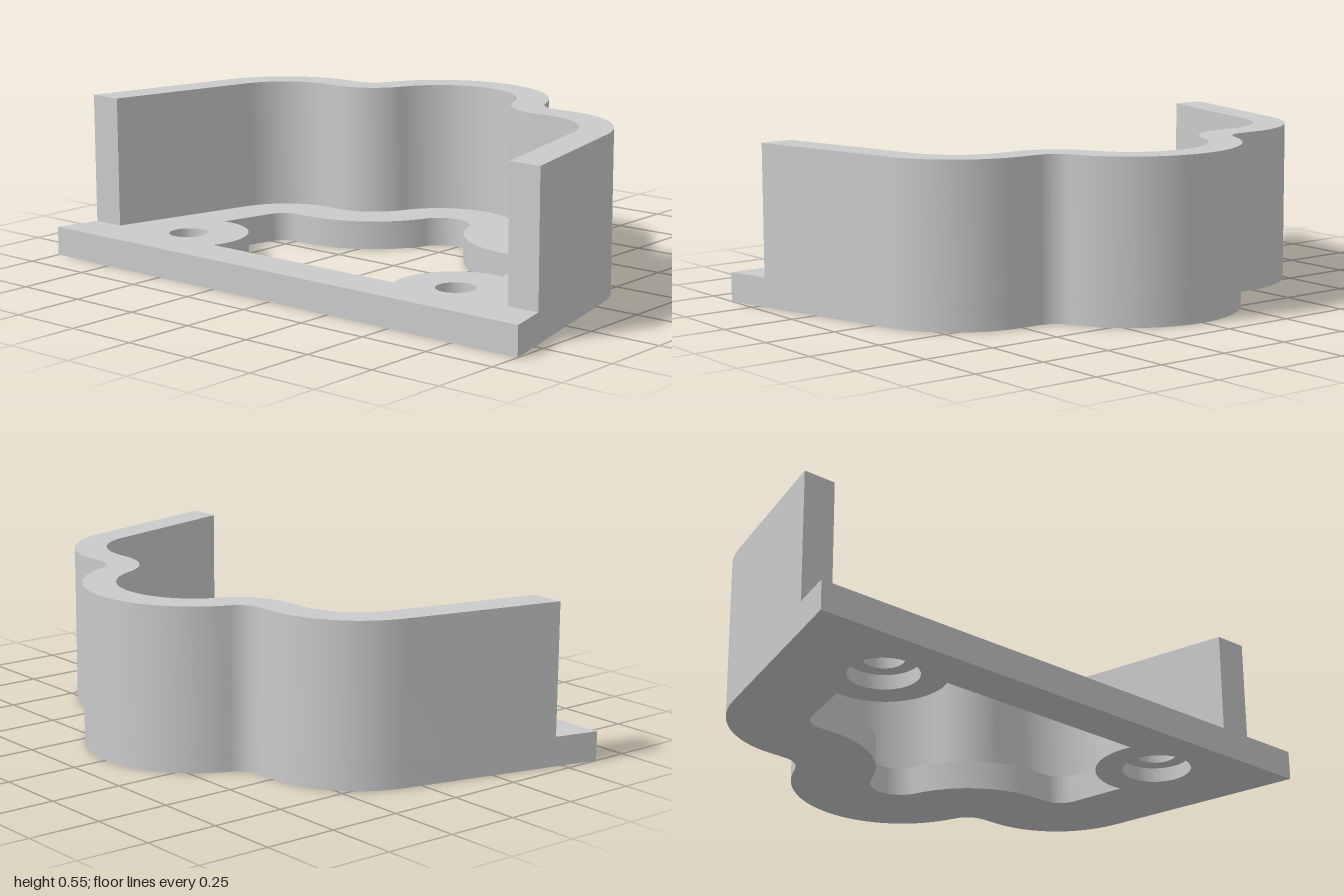
import * as THREE from 'three';
import { toCreasedNormals } from 'three/addons/utils/BufferGeometryUtils.js';

const SLANT = 0.24;            // lean of the side walls, in plan
const BASE = 0.1, TOP = 0.55;  // plate thickness and wall height
const FRONT = 0.627, WALL_FRONT = 0.475;
const BOSS = [0.587, 0.4], BOSS_R = 0.207, HOLE_R = 0.066, BORE_R = 0.115, BORE_DEPTH = 0.05;

// Points (x, z) along an arc
function arc(cx, cz, r, a0, a1, n = 20) {
  return Array.from({ length: n + 1 }, (_, i) => {
    const a = a0 + (a1 - a0) * i / n;
    return new THREE.Vector2(cx + r * Math.cos(a), cz + r * Math.sin(a));
  });
}

// Left half of the outline moved inward by d, from zStart at the side to the back centre
function half(d, zStart) {
  const x = 1 - Math.tan(SLANT) * (FRONT - zStart) - d / Math.cos(SLANT);
  const meet = Math.atan2(-0.168, 0.439);
  return [
    new THREE.Vector2(x, zStart),
    ...arc(0.495, 0.02, 0.345 - d, -SLANT, -Math.PI / 2),
    ...arc(0.439, -0.42, 0.095 + d, Math.PI / 2, Math.PI + meet),
    ...arc(0, -0.252, 0.375 - d, meet, -Math.PI / 2).slice(1),
  ];
}

// Adds the mirrored half, running back to the front on the other side
function mirrored(points) {
  const other = points.slice(0, -1).reverse().map(p => new THREE.Vector2(-p.x, p.y));
  return [...points, ...other];
}

// Extrudes a plan shape between two heights
function slab(shape, y0, y1) {
  const g = new THREE.ExtrudeGeometry(shape, { depth: y1 - y0, bevelEnabled: false, curveSegments: 32 });
  g.rotateX(Math.PI / 2).translate(0, y1, 0);
  return toCreasedNormals(g, 0.5);
}

export function createModel() {
  const group = new THREE.Group();
  const grey = new THREE.MeshStandardMaterial({ color: 0xcacaca });
  grey.name = 'grey';
  const add = (name, geometry) => {
    const mesh = new THREE.Mesh(geometry, grey);
    mesh.name = name;
    group.add(mesh);
    return mesh;
  };

  // Base plate with its opening, which bends around the two screw bosses.
  // The outline runs anticlockwise so that the walls of the holes face inward.
  const plate = new THREE.Shape(mirrored(half(0, FRONT)).reverse());
  const bossEdge = arc(...BOSS, BOSS_R, 2.771 - 2 * Math.PI, -1.445, 28);
  plate.holes.push(new THREE.Path(mirrored([...bossEdge, ...half(0.27, 0.194).slice(1)])));
  for (const s of [1, -1]) {
    plate.holes.push(new THREE.Path().absarc(s * BOSS[0], BOSS[1], BORE_R, 0, Math.PI * 2, true));
  }
  add('basePlate', slab(plate, 0, BASE));

  // Collars narrowing the counterbores to the screw holes
  const collar = [[BORE_R, BASE], [HOLE_R, BASE], [HOLE_R, BORE_DEPTH], [BORE_R, BORE_DEPTH]]
    .map(p => new THREE.Vector2(...p));
  for (const s of [1, -1]) {
    const mesh = add(s > 0 ? 'leftScrewCollar' : 'rightScrewCollar',
      toCreasedNormals(new THREE.LatheGeometry(collar, 64), 0.5));
    mesh.position.set(s * BOSS[0], 0, BOSS[1]);
  }

  // Curved wall standing on the outer edge, open at the front
  const outer = mirrored(half(0, WALL_FRONT));
  const inner = mirrored(half(0.112, WALL_FRONT)).reverse();
  add('curvedWall', slab(new THREE.Shape([...outer, ...inner]), BASE, TOP));

  return group;
}
